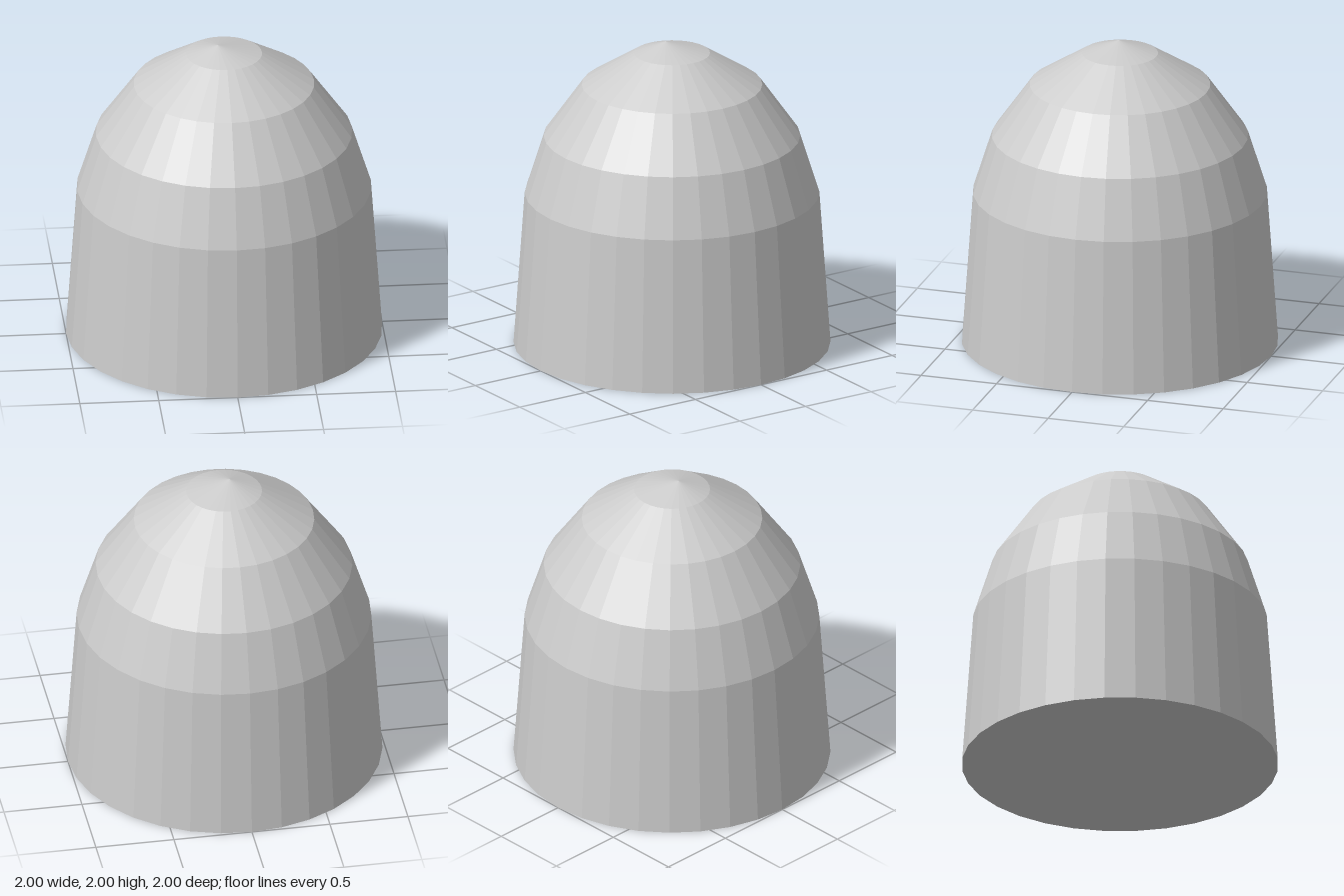
import * as THREE from 'three';

export function createModel() {
  const group = new THREE.Group();
  group.name = 'dome';
  const material = new THREE.MeshStandardMaterial({ color: 0xcccccc, flatShading: true });

  // Faceted shell: closed base, tapered wall, stepped dome rings, tip
  const profile = [[0, 0], [1, 0], [0.93, 1], [0.81, 1.38], [0.57, 1.72], [0.24, 1.93], [0, 2]]
    .map(([r, y]) => new THREE.Vector2(r, y));
  const lathe = new THREE.LatheGeometry(profile, 32);

  // The tip sits slightly off the axis
  const pos = lathe.attributes.position;
  for (let i = 0; i < pos.count; i++) {
    if (pos.getY(i) > 1.99) pos.setXYZ(i, -0.04, 2, 0.02);
  }

  const geometry = lathe.toNonIndexed();
  geometry.computeVertexNormals();
  const shell = new THREE.Mesh(geometry, material);
  shell.name = 'domeShell';
  group.add(shell);
  return group;
}
